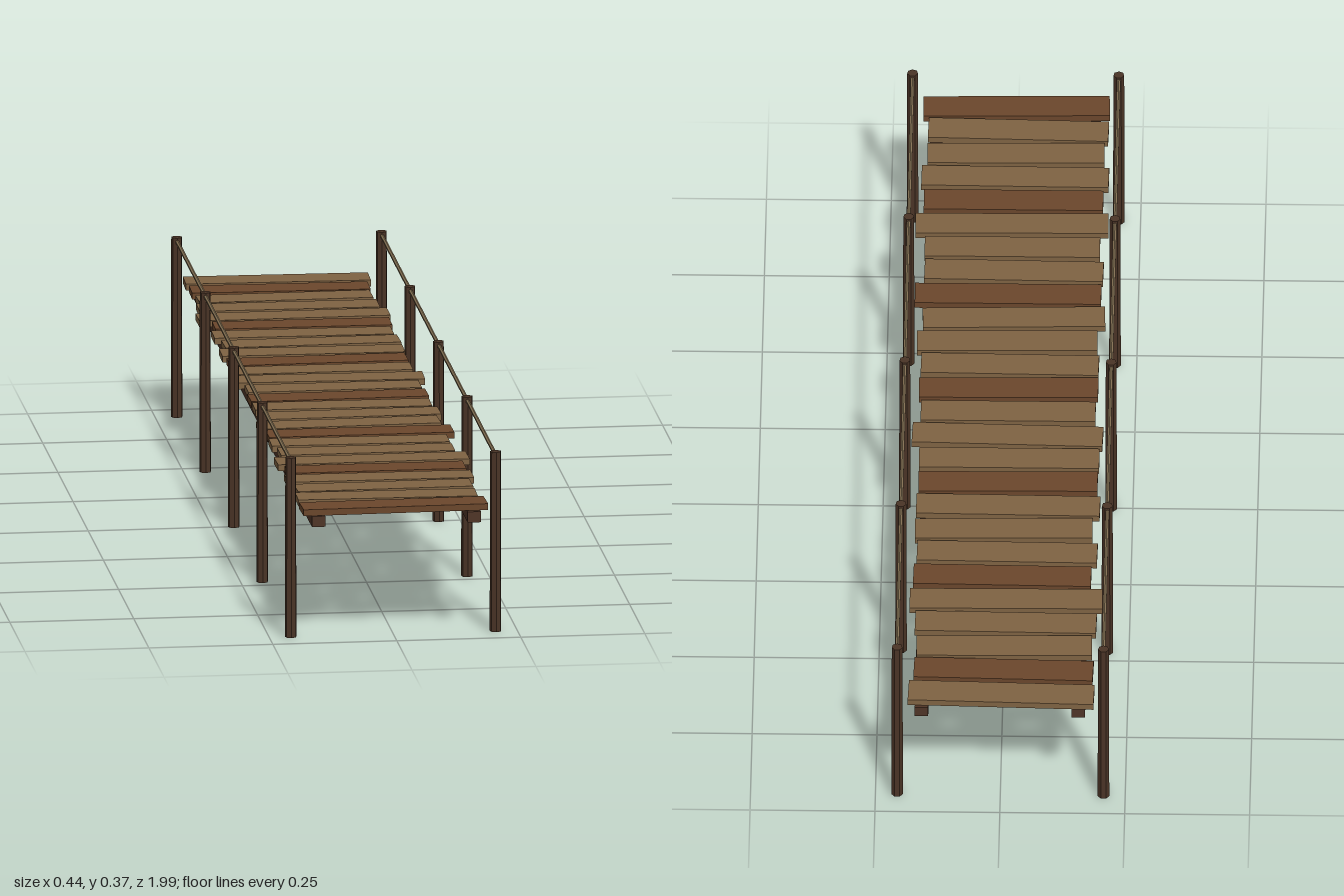
import * as THREE from 'three';

const mat = (color) => new THREE.MeshStandardMaterial({ color, flatShading: true });

export function createModel() {
  const pier = new THREE.Group();
  pier.name = 'pier';
  const lightWood = mat(0x7f6343), darkWood = mat(0x6b472c);
  const postWood = mat(0x4a3426), beamWood = mat(0x4f3527), ropeFibre = mat(0x857254);

  const add = (name, geometry, material, x, y, z) => {
    const mesh = new THREE.Mesh(geometry, material);
    mesh.name = name;
    mesh.position.set(x, y, z);
    pier.add(mesh);
    return mesh;
  };

  // Deck planks, back to front: [left end, right end, skew in z across the width]
  const planks = [
    [-0.188, 0.184, 0.010], [-0.185, 0.174, 0.008], [-0.181, 0.170, -0.005], [-0.189, 0.174, 0.005],
    [-0.200, 0.186, -0.003], [-0.176, 0.180, 0.005], [-0.187, 0.174, 0.005], [-0.176, 0.179, -0.007],
    [-0.190, 0.178, 0.005], [-0.184, 0.175, -0.005], [-0.186, 0.175, 0.000], [-0.192, 0.190, 0.010],
    [-0.176, 0.174, 0.000], [-0.180, 0.179, -0.005], [-0.180, 0.176, 0.005], [-0.176, 0.185, -0.005],
    [-0.190, 0.175, -0.010], [-0.181, 0.192, 0.000], [-0.184, 0.174, 0.005], [-0.176, 0.175, 0.000],
    [-0.192, 0.195, -0.005], [-0.180, 0.179, 0.000], [-0.190, 0.185, 0.003], [-0.180, 0.174, -0.005],
    [-0.187, 0.174, 0.008], [-0.188, 0.185, -0.008],
  ];
  planks.forEach(([x0, x1, skew], i) => {
    const z = -0.961 + i * 0.0768;
    const plank = add('plank', new THREE.BoxGeometry(x1 - x0, 0.013, 0.065),
      i % 4 === 1 ? darkWood : lightWood, (x0 + x1) / 2, 0.2675, z);
    plank.rotation.y = -Math.atan2(skew, x1 - x0);
  });

  for (const side of [-1, 1]) {
    const x = side * 0.2065;
    // Long beam under the deck
    add('beam', new THREE.BoxGeometry(0.027, 0.022, 1.99), beamWood, side * 0.157, 0.249, 0);
    // Tapered seven-sided posts
    for (let i = -2; i <= 2; i++) {
      add('post', new THREE.CylinderGeometry(0.011, 0.012, 0.37, 7), postWood, x, 0.185, i * 0.47);
    }
    // Rope rail
    const rope = add('ropeRail', new THREE.CylinderGeometry(0.004, 0.004, 1.88, 6), ropeFibre, x, 0.362, 0);
    rope.rotation.x = Math.PI / 2;
  }
  return pier;
}
